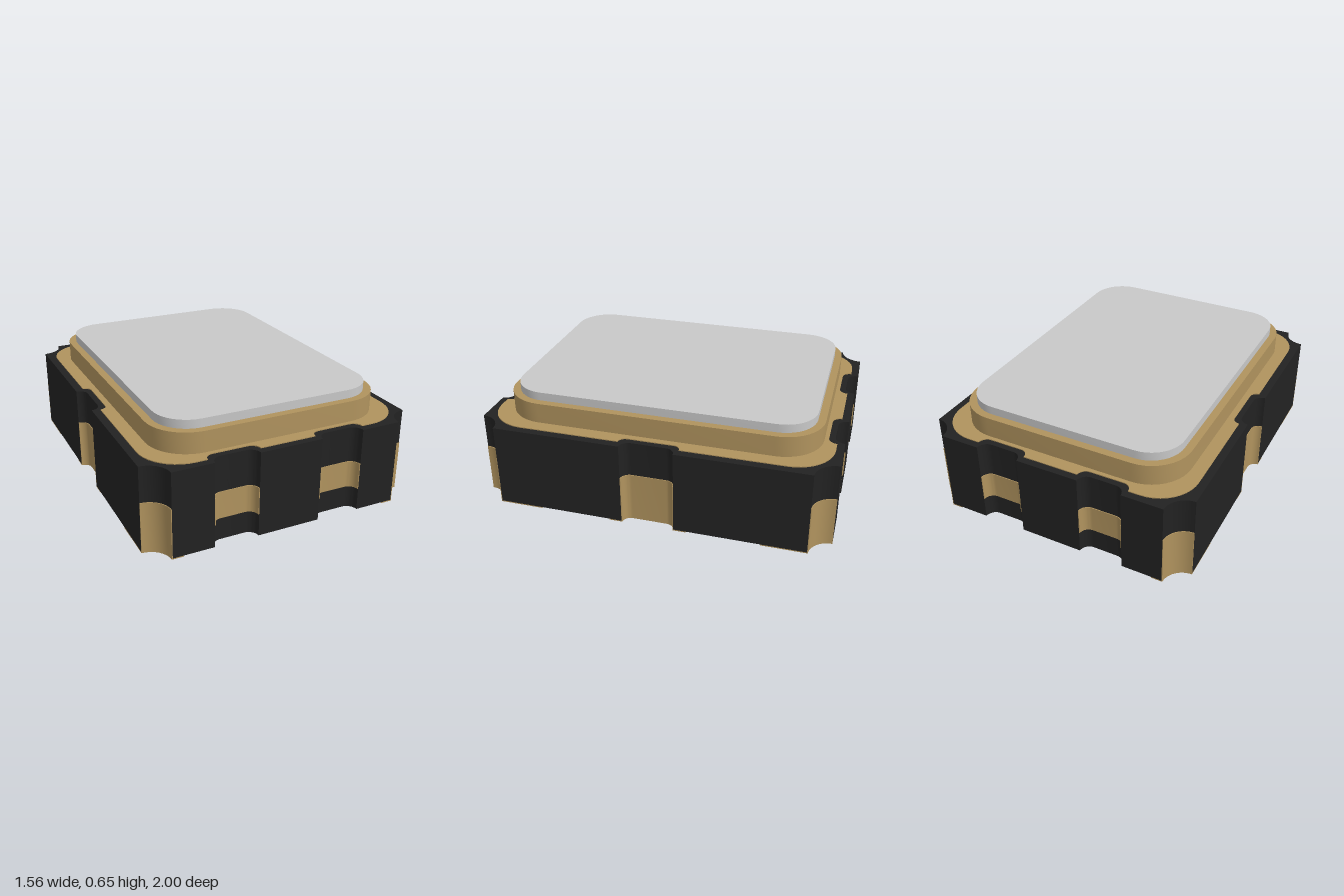
import * as THREE from 'three';
import { toCreasedNormals } from 'three/addons/utils/BufferGeometryUtils.js';

const HX = 0.78, HZ = 1;              // half width and half length of the body
const CORNER = 0.12;                  // radius of the corner scoops
const END_X = 0.305;                  // centre of each notch in the short ends
const SKIN = 0.004;                   // plating thickness

// Points of a quarter arc from angle a0 to a1
function arc(cx, cy, r, a0, a1, n = 10) {
  return Array.from({ length: n + 1 }, (_, i) => {
    const t = a0 + (a1 - a0) * i / n;
    return [cx + r * Math.cos(t), cy + r * Math.sin(t)];
  });
}
const P = Math.PI;

// Pocket cut into an edge: u runs along the edge, v is outward
const pocket = (w, r) => [
  ...arc(-w + r, 0, r, P, 1.5 * P),
  ...arc(w - r, 0, r, 1.5 * P, 2 * P),
];
const cornerScoop = (r) => arc(HX, HZ, r, 1.5 * P, P);

// Closed outline with notches, from one quarter mirrored twice
function outline(hx, hz, corner, side, end) {
  const quarter = [
    ...pocket(...side).slice(11).map(([u, v]) => [hx + v, u]),
    ...corner,
    ...pocket(...end).reverse().map(([u, v]) => [END_X + u, hz + v]),
  ];
  const half = [...quarter, ...quarter.map(([x, y]) => [-x, y]).reverse()];
  return [...half, ...half.map(([x, y]) => [x, -y]).reverse()];
}

function roundedRect(hx, hz, r) {
  return [
    ...arc(hx - r, hz - r, r, 0, P / 2),
    ...arc(-hx + r, hz - r, r, P / 2, P),
    ...arc(-hx + r, -hz + r, r, P, 1.5 * P),
    ...arc(hx - r, -hz + r, r, 1.5 * P, 2 * P),
  ];
}

export function createModel() {
  const model = new THREE.Group();
  model.name = 'ceramicPackage';
  const ceramic = new THREE.MeshStandardMaterial({ name: 'black ceramic', color: 0x222222 });
  const gold = new THREE.MeshStandardMaterial({ name: 'gold plating', color: 0xb0935e });
  const metal = new THREE.MeshStandardMaterial({ name: 'lid metal', color: 0xc8c8c8 });

  // Flat outline raised from y0 to y1
  function slab(name, points, y0, y1, material) {
    const shape = new THREE.Shape(points.map(([x, y]) => new THREE.Vector2(x, y)));
    const raw = new THREE.ExtrudeGeometry(shape, { depth: y1 - y0, bevelEnabled: false });
    raw.rotateX(-P / 2).translate(0, y0, 0);
    const mesh = new THREE.Mesh(toCreasedNormals(raw, 0.6), material);
    mesh.name = name;
    model.add(mesh);
  }

  // Body, sealing plate, frame and lid
  slab('body', outline(HX, HZ, cornerScoop(CORNER), [0.15, 0.052], [0.125, 0.055]), 0.006, 0.485, ceramic);
  const plateCorner = arc(0.735 - 0.22, 0.96 - 0.22, 0.22, 0, P / 2);
  slab('sealPlate', outline(0.735, 0.96, plateCorner, [0.17, 0.04], [0.145, 0.048]), 0.485, 0.49, gold);
  slab('frame', roundedRect(0.66, 0.89, 0.23), 0.49, 0.607, gold);
  slab('lid', roundedRect(0.617, 0.848, 0.19), 0.607, 0.655, metal);

  // Thin plating that lines a pocket
  const lining = (w, r) => [...pocket(w, r), ...pocket(w - SKIN, r - SKIN).reverse()];
  const cornerLining = [...cornerScoop(CORNER), ...cornerScoop(CORNER - SKIN).reverse()];

  // Underside pads, stepped clear of the end notches
  const cornerPad = [
    [0.31, 0.63], [HX, 0.63], ...cornerScoop(CORNER), [0.6, HZ], [0.6, 0.9], [0.31, 0.9],
  ];
  const middlePad = [
    [0.31, -0.22], [HX, -0.22],
    ...pocket(0.15, 0.052).map(([u, v]) => [HX + v, u]),
    [HX, 0.22], [0.31, 0.22],
  ];

  for (const sx of [1, -1]) {
    const flipX = (pts) => pts.map(([x, y]) => [sx * x, y]);
    slab('sideContact', flipX(lining(0.15, 0.052).map(([u, v]) => [HX + v, u])), 0, 0.285, gold);
    slab('middlePad', flipX(middlePad), 0, 0.006, gold);
    for (const sz of [1, -1]) {
      const flip = (pts) => pts.map(([x, y]) => [sx * x, sz * y]);
      slab('cornerContact', flip(cornerLining), 0, 0.285, gold);
      slab('endContact', flip(lining(0.125, 0.055).map(([u, v]) => [END_X + u, HZ + v])), 0.132, 0.285, gold);
      slab('cornerPad', flip(cornerPad), 0, 0.006, gold);
    }
  }
  return model;
}
